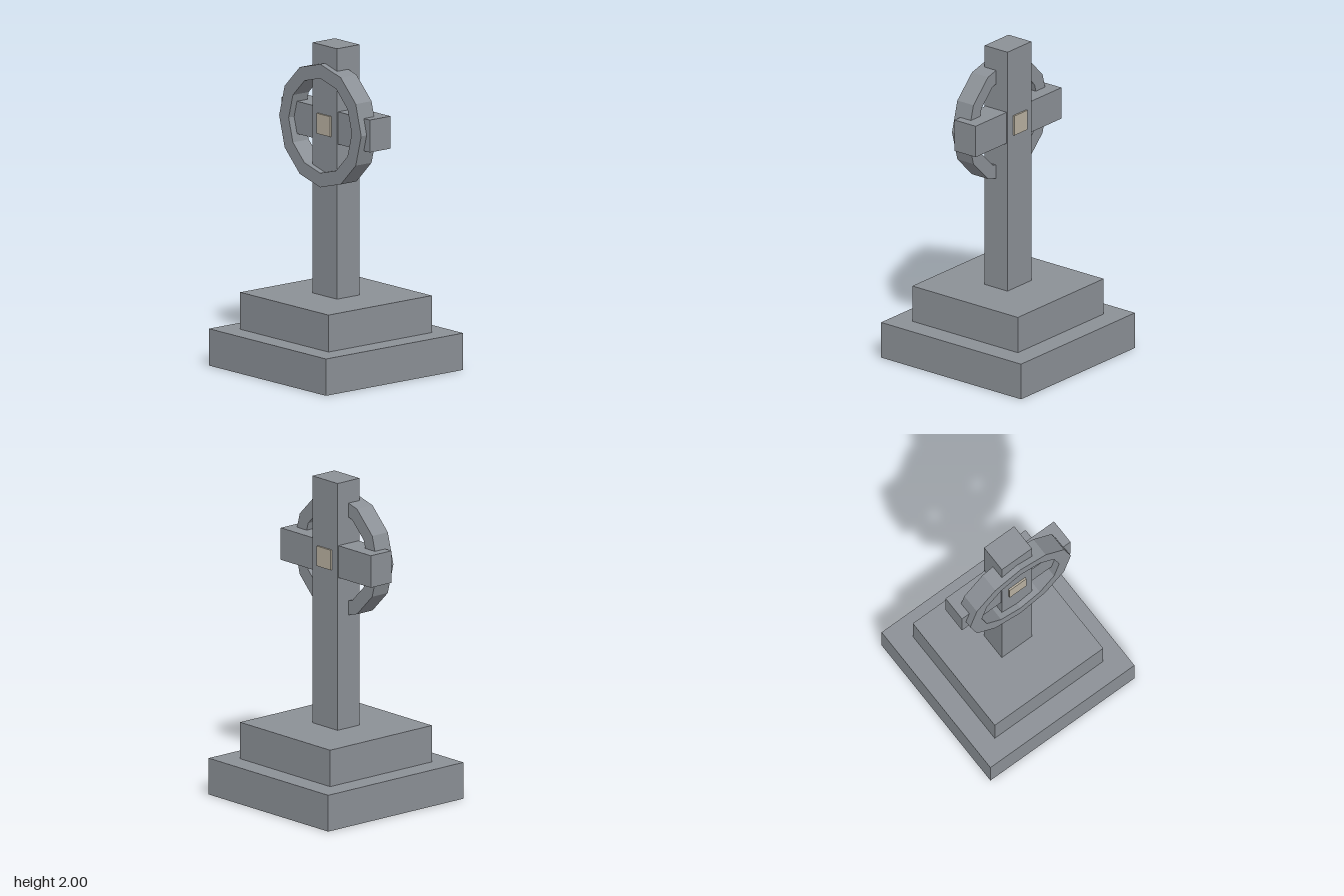
import * as THREE from 'three';

export function createModel() {
  const model = new THREE.Group();
  model.name = 'ringedStoneCross';

  const stone = new THREE.MeshStandardMaterial({ color: 0x8b9096 });
  stone.name = 'greyStone';
  const inlay = new THREE.MeshStandardMaterial({ color: 0xb8b0a0 });
  inlay.name = 'paleInlay';

  const add = (name, geometry, material, y, z = 0) => {
    const mesh = new THREE.Mesh(geometry, material);
    mesh.name = name;
    mesh.position.set(0, y, z);
    model.add(mesh);
  };
  const box = (name, w, h, d, bottom, material = stone) =>
    add(name, new THREE.BoxGeometry(w, h, d), material, bottom + h / 2);

  // Stepped plinth
  box('lowerStep', 1.086, 0.227, 1.086, 0);
  box('upperStep', 0.818, 0.228, 0.818, 0.227);

  // Cross
  box('shaft', 0.227, 1.545, 0.177, 0.455);
  box('crossArms', 0.818, 0.2, 0.164, 1.41);

  // Inlay passing through the shaft, slightly proud on front and back
  box('centreInlay', 0.125, 0.125, 0.2, 1.449, inlay);

  // Twelve-sided ring on the front half of the cross
  const polygon = (r) => Array.from({ length: 12 }, (_, i) =>
    new THREE.Vector2(r * Math.cos(i * Math.PI / 6), r * Math.sin(i * Math.PI / 6)));
  const ring = new THREE.Shape(polygon(0.38));
  ring.holes.push(new THREE.Path(polygon(0.292)));
  add('ring', new THREE.ExtrudeGeometry(ring, { depth: 0.125, bevelEnabled: false }), stone, 1.511);

  return model;
}
